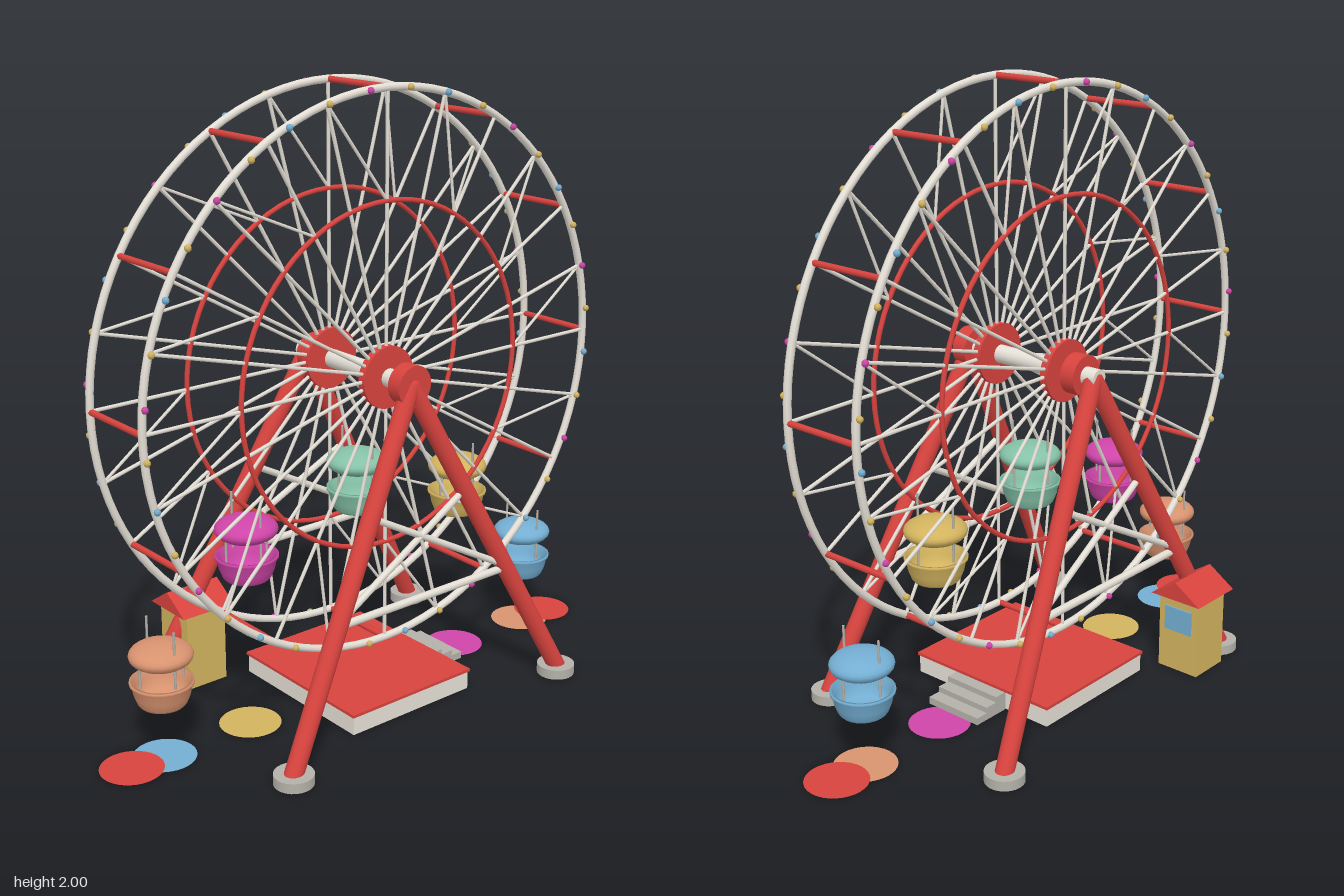
import * as THREE from 'three';

const paint = (name, color, side = THREE.FrontSide) => {
  const m = new THREE.MeshStandardMaterial({ color, side });
  m.name = name;
  return m;
};

export function createModel() {
  const red = paint('red', 0xd8433e, THREE.DoubleSide);
  const pale = paint('paleGrey', 0xe6e1d7);
  const grey = paint('steelGrey', 0xb4b1a9);
  const blue = paint('blue', 0x74aed2, THREE.DoubleSide);
  const yellow = paint('yellow', 0xd2b35e, THREE.DoubleSide);
  const green = paint('green', 0x85c2a8, THREE.DoubleSide);
  const magenta = paint('magenta', 0xcf45a8, THREE.DoubleSide);
  const salmon = paint('salmon', 0xd8936f, THREE.DoubleSide);

  const model = new THREE.Group();
  model.name = 'ferrisWheel';
  model.position.z = 0.012;

  const V = (x, y, z) => new THREE.Vector3(x, y, z);
  const group = (name, parent = model) => {
    const g = new THREE.Group();
    g.name = name;
    parent.add(g);
    return g;
  };
  const add = (parent, name, geo, mat, x = 0, y = 0, z = 0) => {
    const m = new THREE.Mesh(geo, mat);
    m.name = name;
    m.position.set(x, y, z);
    parent.add(m);
    return m;
  };
  // round bar between two points
  const rod = (parent, name, a, b, r, mat, sides = 8) => {
    const m = add(parent, name, new THREE.CylinderGeometry(r, r, a.distanceTo(b), sides), mat);
    m.position.copy(a).add(b).multiplyScalar(0.5);
    m.quaternion.setFromUnitVectors(V(0, 1, 0), b.clone().sub(a).normalize());
    return m;
  };

  const HUB = 1.102, R = 0.886, INNER = 0.55, HALF = 0.14;
  const polar = (r, deg, z) => {
    const a = deg * Math.PI / 180;
    return V(r * Math.cos(a), r * Math.sin(a), z);
  };

  // wheel: two rims with spokes, braces and bulbs
  const wheel = group('wheel');
  wheel.position.y = HUB;
  const rimGeo = new THREE.TorusGeometry(R, 0.0125, 8, 96);
  const innerGeo = new THREE.TorusGeometry(INNER, 0.008, 8, 72);
  const bulbGeo = new THREE.SphereGeometry(0.011, 8, 6);
  const bulbColours = [yellow, magenta, yellow, blue];
  for (const s of [1, -1]) {
    const z = s * HALF;
    const side = group(s > 0 ? 'frontRim' : 'backRim', wheel);
    add(side, 'outerRing', rimGeo, pale, 0, 0, z);
    add(side, 'innerRing', innerGeo, red, 0, 0, z);
    rod(side, 'hubDisc', V(0, 0, z - 0.014), V(0, 0, z + 0.014), 0.1, red, 32);
    for (let i = 0; i < 24; i++) {
      rod(side, 'spoke', polar(0.05, i * 15, z), polar(R, i * 15, z), 0.006, pale, 6);
      if (i % 2) rod(side, 'brace', polar(R, i * 15, z), polar(INNER, i * 15 - 15, z), 0.005, pale, 6);
    }
    for (let i = 0; i < 36; i++) {
      const p = polar(R, i * 10 + 5, z + s * 0.015);
      add(side, 'bulb', bulbGeo, bulbColours[i % 4], p.x, p.y, p.z);
    }
  }
  for (let i = 0; i < 12; i++) {
    rod(wheel, 'crossbar', polar(R, i * 30, -HALF), polar(R, i * 30, HALF), 0.01, red);
  }

  // axle and bearings
  rod(model, 'axle', V(0, HUB, -0.28), V(0, HUB, 0.26), 0.03, pale, 24);
  for (const z of [0.25, -0.203]) {
    rod(model, 'bearing', V(0, HUB, z - 0.026), V(0, HUB, z + 0.026), 0.065, red, 32);
  }

  // A-frame stands
  for (const s of [1, -1]) {
    const stand = group(s > 0 ? 'frontStand' : 'backStand');
    // point on a leg at height y
    const onLeg = (side, y) => {
      const t = (1.1 - y) / 1.07;
      return V(side * 0.56 * t, y, s * (0.256 + 0.126 * t));
    };
    for (const x of [1, -1]) {
      rod(stand, 'leg', onLeg(x, 0.02), onLeg(x, 1.1), 0.03, red, 16);
      add(stand, 'foot', new THREE.CylinderGeometry(0.063, 0.063, 0.033, 24), grey, x * 0.56, 0.0185, s * 0.382);
      rod(stand, 'diagonalBrace', onLeg(x, 0.73), onLeg(-x, 0.44), 0.011, pale);
    }
    add(stand, 'legTop', new THREE.SphereGeometry(0.03, 16, 10), red, 0, 1.1, s * 0.256);
    rod(stand, 'tieBar', onLeg(-1, 0.43), onLeg(1, 0.43), 0.013, pale);
  }

  // gondolas, hung from their hook point
  const lathe = pts => new THREE.LatheGeometry(pts.map(p => new THREE.Vector2(...p)), 24);
  const tubGeo = lathe([[0, -0.263], [0.07, -0.263], [0.077, -0.255], [0.088, -0.227], [0.094, -0.196],
    [0.1, -0.193], [0.1, -0.184], [0.09, -0.184], [0.085, -0.215], [0.07, -0.25], [0, -0.25]]);
  const canopyGeo = new THREE.SphereGeometry(0.1, 24, 14).scale(1, 0.41, 1);
  const discGeo = new THREE.CircleGeometry(0.1, 32).rotateX(-Math.PI / 2);
  const colours = [red, blue, yellow, green, magenta, salmon];
  for (let i = 0; i < 12; i++) {
    const p = polar(R, i * 30, 0), mat = colours[i % 6];
    if (i > 0 && i < 6) {
      const g = group('gondola');
      g.position.copy(p);
      add(g, 'tub', tubGeo, mat);
      add(g, 'canopy', canopyGeo, mat, 0, -0.1, 0);
      for (const s of [1, -1]) {
        rod(g, 'hanger', V(0, 0, s * 0.075), V(0, -0.186, s * 0.075), 0.004, grey, 6);
        rod(g, 'post', V(s * 0.077, -0.1, 0), V(s * 0.077, -0.196, 0), 0.004, grey, 6);
      }
    } else {
      // flat ground markers
      add(model, 'groundDisc', discGeo, mat, p.x, mat === red ? 0.001 : 0, 0);
    }
  }

  // boarding platform and steps
  const box = (parent, name, w, h, d, mat, x, y, z) =>
    add(parent, name, new THREE.BoxGeometry(w, h, d), mat, x, y + h / 2, z);
  const platform = group('platform');
  box(platform, 'platformBase', 0.49, 0.062, 0.56, pale, 0, 0.003, 0);
  box(platform, 'platformDeck', 0.5, 0.01, 0.57, red, 0, 0.065, 0);
  [0.062, 0.043, 0.024].forEach((h, i) => {
    box(platform, 'step', 0.045, h, 0.212, grey, 0.268 + i * 0.045, 0.002, 0);
  });

  // ticket booth with gable roof
  const booth = group('ticketBooth');
  booth.position.set(-0.402, 0, -0.375);
  box(booth, 'boothWalls', 0.15, 0.27, 0.155, yellow, 0, 0.003, 0);
  box(booth, 'boothWindow', 0.008, 0.085, 0.105, blue, 0.077, 0.148, 0);
  const gable = new THREE.Shape([[-0.097, 0], [0.097, 0], [0, 0.064]].map(p => new THREE.Vector2(...p)));
  const roofGeo = new THREE.ExtrudeGeometry(gable, { depth: 0.2, bevelEnabled: false });
  roofGeo.translate(0, 0, -0.1).rotateY(Math.PI / 2);
  add(booth, 'boothRoof', roofGeo, red, 0, 0.272, 0);

  return model;
}
